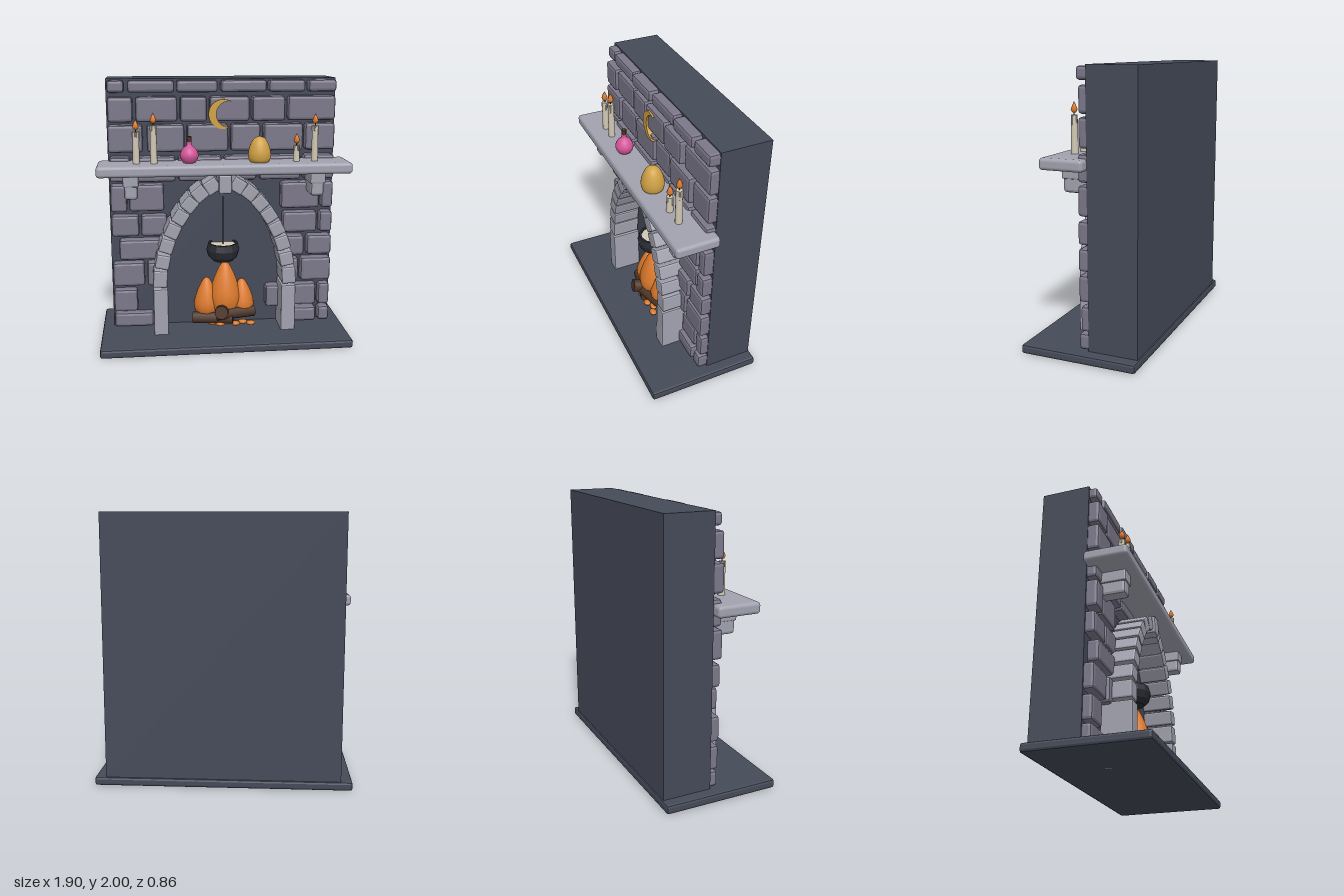
import * as THREE from 'three';
import { RoundedBoxGeometry } from 'three/addons/geometries/RoundedBoxGeometry.js';

const mat = (name, color) => {
  const m = new THREE.MeshStandardMaterial({ color });
  m.name = name;
  return m;
};

export function createModel() {
  const wallMat = mat('darkSlate', 0x454a58);
  const stoneMat = mat('stoneGrey', 0x7b778a);
  const trimMat = mat('paleStone', 0xa2a2b0);
  const waxMat = mat('cream', 0xd2c9b4);
  const goldMat = mat('gold', 0xd0a145);
  const pinkMat = mat('pink', 0xd4569a);
  const fireMat = mat('orange', 0xdd7a2c);
  const woodMat = mat('darkWood', 0x4e3528);
  const ironMat = mat('iron', 0x2b2c34);

  const model = new THREE.Group();
  model.name = 'fireplace';
  const add = (name, geo, material, x = 0, y = 0, z = 0, parent = model) => {
    const mesh = new THREE.Mesh(geo, material);
    mesh.name = name;
    mesh.position.set(x, y, z);
    parent.add(mesh);
    return mesh;
  };
  const group = (name) => {
    const g = new THREE.Group();
    g.name = name;
    model.add(g);
    return g;
  };
  // Box with flat chamfered edges
  const chamferBox = (w, h, d, r) => {
    const g = new RoundedBoxGeometry(w, h, d, 1, Math.min(r, w * 0.45, h * 0.45, d * 0.45));
    g.computeVertexNormals();
    return g;
  };
  const lathe = (points, sides) =>
    new THREE.LatheGeometry(points.map(([r, y]) => new THREE.Vector2(r, y)), sides);
  // Smooth lathe profile drawn through a few points
  const smoothLathe = (points, sides, steps = 16) => {
    const curve = new THREE.SplineCurve(points.map(([r, y]) => new THREE.Vector2(r, y)));
    const pts = curve.getPoints(steps);
    pts.forEach((p) => { p.x = Math.max(0, p.x); });
    return new THREE.LatheGeometry(pts, sides);
  };
  let seed = 7;
  const rand = () => {
    seed = (seed * 16807) % 2147483647;
    return seed / 2147483647 - 0.5;
  };

  // Hearth slab and wall core
  add('hearthSlab', chamferBox(1.9, 0.066, 0.86, 0.018), wallMat, 0, 0.033, 0);
  add('wallCore', new THREE.BoxGeometry(1.73, 1.94, 0.362), wallMat, 0, 1.03, -0.236);

  // Wall stones: rows of [bottom, top, [left, right, ...]]
  const rows = [
    [1.9, 1.99, [-0.855, -0.73, -0.705, -0.36, -0.345, -0.04, -0.015, 0.33, 0.345, 0.62, 0.645, 0.86]],
    [1.685, 1.87, [-0.855, -0.67, -0.65, -0.34, -0.32, -0.12, -0.1, 0.2, 0.22, 0.47, 0.495, 0.86]],
    [1.46, 1.665, [-0.86, -0.6, -0.57, -0.29, -0.27, 0.04, 0.06, 0.285, 0.31, 0.61, 0.63, 0.86]],
    [1.235, 1.425, [-0.855, -0.7, -0.68, -0.36, -0.34, -0.01, 0.01, 0.26, 0.28, 0.6, 0.62, 0.86]],
    [1.005, 1.215, [-0.855, -0.73, -0.715, -0.45, 0.45, 0.75, 0.77, 0.86]],
    [0.81, 0.975, [-0.855, -0.645, -0.63, -0.43, 0.47, 0.74, 0.76, 0.86]],
    [0.625, 0.785, [-0.8, -0.48, 0.45, 0.64, 0.665, 0.86]],
    [0.41, 0.6, [-0.855, -0.61, -0.59, -0.5, 0.5, 0.6, 0.62, 0.86]],
    [0.2, 0.38, [-0.855, -0.67, 0.34, 0.53, 0.545, 0.75, 0.77, 0.86]],
    [0.07, 0.185, [-0.855, -0.55, 0.5, 0.75, 0.77, 0.86]],
  ];
  const stones = group('wallStones');
  for (const [y0, y1, xs] of rows) {
    for (let i = 0; i < xs.length; i += 2) {
      const depth = 0.1 + rand() * 0.025;
      const s = add('wallStone', chamferBox(xs[i + 1] - xs[i], y1 - y0, depth, 0.022), stoneMat,
        (xs[i] + xs[i + 1]) / 2, (y0 + y1) / 2, -0.083 + depth / 2, stones);
      s.rotation.z = rand() * 0.02;
    }
  }

  // Arch: pillars, wedge blocks along a curve, keystone
  const arch = group('arch');
  for (const side of [-1, 1]) {
    const bottom = side < 0 ? 0 : 0.05;
    add('pillar', chamferBox(0.112, 0.43 - bottom, 0.23, 0.01), trimMat,
      side * 0.493, (0.43 + bottom) / 2, 0.06, arch);
  }
  const archPath = [[0.493, 0.51], [0.472, 0.645], [0.44, 0.77], [0.394, 0.885], [0.335, 0.99],
    [0.265, 1.085], [0.188, 1.165], [0.098, 1.222]];
  archPath.forEach(([x, y], i) => {
    const [ax, ay] = archPath[Math.max(0, i - 1)];
    const [bx, by] = archPath[Math.min(archPath.length - 1, i + 1)];
    const angle = i === 0 ? 0.06 : Math.atan2(by - ay, bx - ax) - Math.PI / 2;
    for (const side of [-1, 1]) {
      const b = add('archBlock', chamferBox(0.11, i === 0 ? 0.135 : 0.112, 0.225 + rand() * 0.012, 0.014),
        trimMat, side * x, y, 0.06, arch);
      b.rotation.z = side * angle;
    }
  });
  add('keystone', chamferBox(0.1, 0.145, 0.25, 0.014), trimMat, 0, 1.238, 0.065, arch);

  // Mantel shelf and its brackets
  add('mantelShelf', new RoundedBoxGeometry(1.88, 0.082, 0.32, 3, 0.025), trimMat, 0, 1.355, 0.103);
  for (const side of [-1, 1]) {
    add('bracketTop', chamferBox(0.118, 0.09, 0.25, 0.012), trimMat, side * 0.695, 1.275, 0.067);
    add('bracketFoot', chamferBox(0.1, 0.16, 0.24, 0.022), trimMat, side * 0.695, 1.215, 0.065);
  }

  // Crescent ornament
  const moon = new THREE.Shape();
  moon.absarc(0, 0, 0.11, Math.PI / 3, Math.PI * 5 / 3, false);
  moon.absarc(0.0445, 0, 0.097, -1.464, 1.464, true);
  add('crescent', new THREE.ExtrudeGeometry(moon, { depth: 0.05, bevelEnabled: false, curveSegments: 20 }),
    goldMat, 0, 1.74, -0.015);

  // Candles: [x, height]
  const shelfY = 1.394;
  for (const [x, h] of [[-0.65, 0.235], [-0.522, 0.28], [0.54, 0.12], [0.677, 0.265]]) {
    const c = group('candle');
    c.position.set(x, shelfY, 0.125);
    add('wax', new THREE.CylinderGeometry(0.023, 0.026, h, 12), waxMat, 0, h / 2, 0, c);
    add('wick', new THREE.CylinderGeometry(0.004, 0.004, 0.03, 6), ironMat, 0, h + 0.012, 0, c);
    add('candleFlame', lathe([[0, 0], [0.016, 0.008], [0.024, 0.026], [0.014, 0.052], [0, 0.08]], 8),
      fireMat, 0, h + 0.012, 0, c);
    for (let i = 0; i < 4; i++) {
      const a = i * 1.6 + x * 5;
      const len = 0.03 + (i % 3) * 0.014;
      add('waxDrip', new THREE.CapsuleGeometry(0.006, len, 3, 6), waxMat,
        Math.cos(a) * 0.023, h - len / 2 - 0.003, Math.sin(a) * 0.023, c);
    }
  }

  // Potion flask with stopper
  add('flask', smoothLathe([[0, 0], [0.045, 0.005], [0.069, 0.055], [0.05, 0.105], [0.021, 0.13], [0.018, 0.158]], 20),
    pinkMat, -0.262, shelfY, 0.125);
  add('stopper', new THREE.CylinderGeometry(0.021, 0.018, 0.04, 6), woodMat, -0.262, shelfY + 0.176, 0.125);

  // Golden egg
  add('egg', smoothLathe([[0, 0], [0.068, 0.001], [0.085, 0.055], [0.07, 0.125], [0.04, 0.175], [0, 0.192]], 24, 24),
    goldMat, 0.26, shelfY, 0.125);

  // Hanging cauldron
  const pot = lathe([[0, 0.598], [0.08, 0.6], [0.115, 0.635], [0.13, 0.69], [0.118, 0.73], [0.116, 0.742],
    [0.1, 0.742], [0.098, 0.715]], 12).toNonIndexed();
  pot.computeVertexNormals();
  add('cauldron', pot, ironMat);
  add('broth', new THREE.CylinderGeometry(0.1, 0.1, 0.008, 12), waxMat, 0, 0.726, 0);
  add('hangingRod', new THREE.CylinderGeometry(0.005, 0.005, 0.39, 6), ironMat, 0, 0.915, 0);

  // Fire: [x, bottom, z, radius, height]
  for (const [x, y, z, r, h] of [[0.015, 0.13, 0, 0.125, 0.46], [-0.13, 0.12, -0.01, 0.1, 0.34], [0.15, 0.12, -0.01, 0.098, 0.32]]) {
    add('flame', smoothLathe([[0, 0], [r * 0.75, h * 0.12], [r, h * 0.36], [r * 0.72, h * 0.68], [r * 0.3, h * 0.93], [0, h]], 12),
      fireMat, x, y, z);
  }

  // Logs between two end points
  const log = (a, b, r) => {
    const p = new THREE.Vector3(...a);
    const q = new THREE.Vector3(...b);
    const m = add('log', new THREE.CylinderGeometry(r, r, p.distanceTo(q), 12), woodMat);
    m.position.copy(p).add(q).multiplyScalar(0.5);
    m.quaternion.setFromUnitVectors(new THREE.Vector3(0, 1, 0), q.sub(p).normalize());
  };
  log([-0.24, 0.14, 0.03], [0.07, 0.15, 0.1], 0.046);
  log([-0.06, 0.19, 0.12], [0.24, 0.18, 0.03], 0.046);
  log([-0.03, 0.225, 0.175], [0.02, 0.17, -0.1], 0.052);

  // Embers
  for (let i = 0; i < 6; i++) {
    const e = add('ember', new THREE.IcosahedronGeometry(0.036, 1), fireMat,
      -0.09 + i * 0.06, 0.105, 0.07 + (i % 2) * 0.03);
    e.scale.set(1, 0.5, 0.8);
  }
  return model;
}
